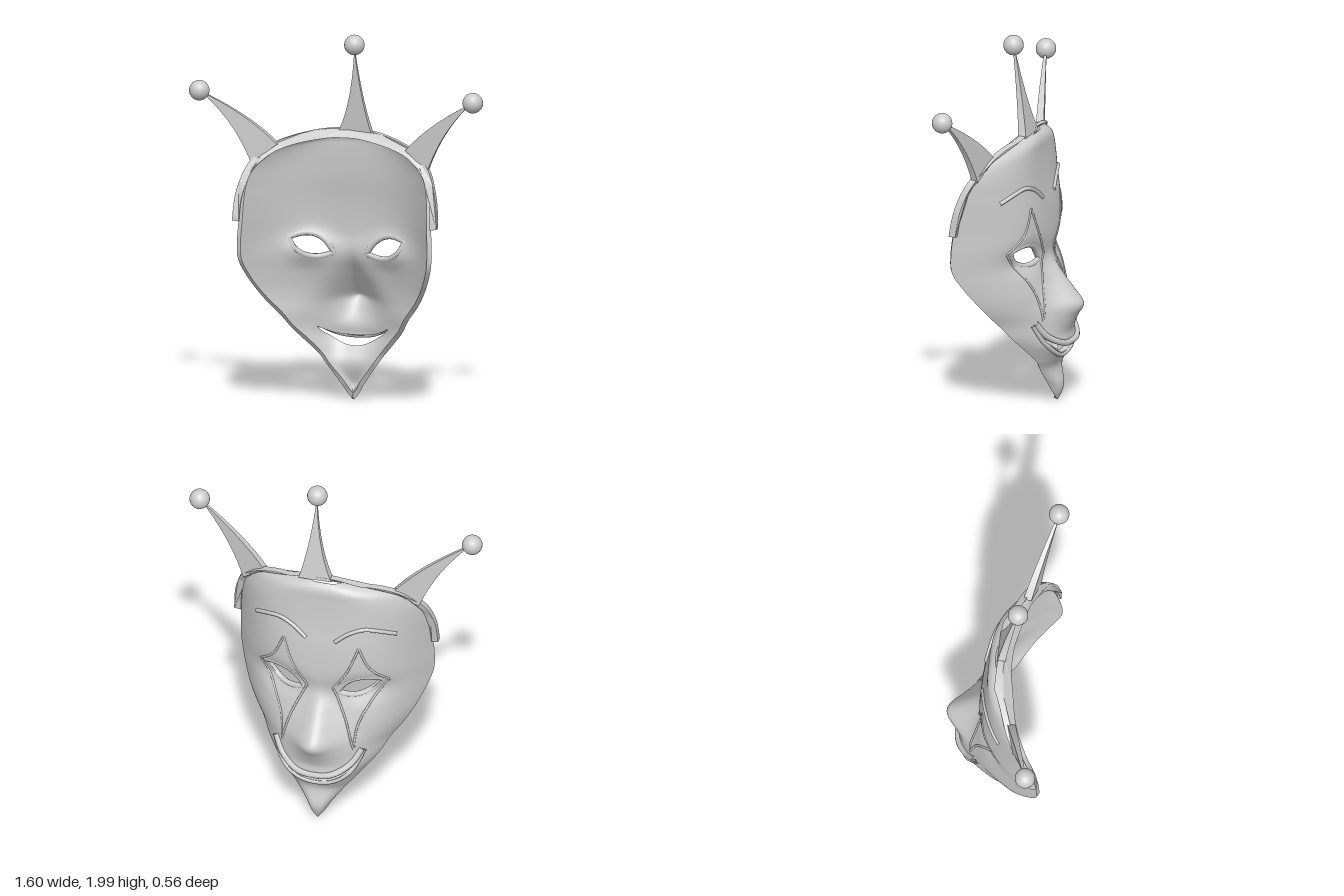
import * as THREE from 'three';

const material = new THREE.MeshStandardMaterial({ color: 0xcccccc, side: THREE.DoubleSide });

// Mask cross-sections: y, half width, rim z, centre z, nose height
const rows = [
  [0.01, 0.004, -0.13, -0.135, 0], [0.05, 0.035, -0.125, -0.155, 0], [0.1, 0.065, -0.11, -0.165, 0],
  [0.2, 0.135, -0.09, -0.14, 0], [0.26, 0.18, -0.085, -0.165, 0], [0.34, 0.25, -0.04, -0.2, 0.01],
  [0.4, 0.3, 0, -0.18, 0.03], [0.48, 0.35, 0.055, -0.155, 0.09], [0.55, 0.405, 0.1, -0.14, 0.14],
  [0.62, 0.45, 0.145, -0.125, 0.105], [0.7, 0.49, 0.2, -0.105, 0.06], [0.8, 0.525, 0.255, -0.09, 0.01],
  [0.9, 0.53, 0.26, -0.1, 0], [1.0, 0.525, 0.25, -0.095, 0], [1.1, 0.52, 0.235, -0.085, 0],
  [1.2, 0.51, 0.21, -0.07, 0], [1.3, 0.475, 0.165, -0.06, 0], [1.38, 0.4, 0.11, -0.055, 0],
  [1.42, 0.32, 0.08, -0.053, 0], [1.45, 0.2, 0.045, -0.04, 0], [1.465, 0.1, 0.015, -0.02, 0],
];
const yMin = rows[0][0], yMax = rows[rows.length - 1][0];

// Smooth interpolation of one column of the table
function profile(col, y) {
  y = THREE.MathUtils.clamp(y, yMin, yMax);
  let i = 0;
  while (i < rows.length - 2 && y > rows[i + 1][0]) i++;
  const slope = (k) => {
    const a = rows[Math.max(k - 1, 0)], b = rows[Math.min(k + 1, rows.length - 1)];
    return (b[col] - a[col]) / (b[0] - a[0]);
  };
  const [a, b] = [rows[i], rows[i + 1]], h = b[0] - a[0], t = (y - a[0]) / h;
  const s = t * t * (3 - 2 * t);
  return a[col] * (1 - s) + b[col] * s
    + h * t * (1 - t) * ((1 - t) * slope(i) - t * slope(i + 1));
}

// Outer face of the mask, which looks toward -z
function surfaceZ(x, y) {
  const r = Math.abs(x) / Math.max(profile(1, y), 0.004);
  const rim = profile(2, y), mid = profile(3, y);
  const noseWidth = THREE.MathUtils.clamp(0.135 - (y - 0.5) * 0.3, 0.045, 0.14);
  const nose = profile(4, y) * Math.exp(-((x / noseWidth) ** 2));
  const socket = 0.042 * Math.exp(-(((Math.abs(x) - 0.23) / 0.12) ** 2) - ((y - 0.83) / 0.08) ** 2);
  return mid + (rim - mid) * Math.min(r, 1.2) ** 3 - nose + socket;
}

function insidePoint(x, y, thickness) {
  const e = 0.004, lim = (v) => THREE.MathUtils.clamp(v, -2.5, 2.5);
  const dx = lim((surfaceZ(x + e, y) - surfaceZ(x - e, y)) / (2 * e));
  const dy = lim((surfaceZ(x, y + e) - surfaceZ(x, y - e)) / (2 * e));
  const n = new THREE.Vector3(-dx, -dy, 1).normalize().multiplyScalar(thickness);
  if (Math.abs(n.x) > Math.abs(x)) n.x = -x;
  return [x + n.x, y + n.y, surfaceZ(x, y) + n.z];
}

// Almond eyes and crescent mouth; positive inside an opening
const eye = { x: 0.205, y: 0.845, tilt: 0.34, length: 0.115, height: 0.052 };
function opening(x, y) {
  const c = Math.cos(eye.tilt), s = Math.sin(eye.tilt);
  const px = Math.abs(x) - eye.x, py = y - eye.y;
  const a = px * c + py * s, b = py * c - px * s;
  const eyeHole = eye.height * (1 - (a / eye.length) ** 2) - Math.abs(b);
  const mouth = Math.min(0.337 + 1.4 * x * x - y, y - 0.28 - 2.6 * x * x);
  return Math.max(eyeHole, mouth);
}

// Two-sided shell cut from a warped grid, with walls along every open edge
function shellGeometry(nx, ny, thickness) {
  const points = [], lookup = new Map(), tris = [];
  const id = (p) => {
    const key = Math.round(p[0] * 2e4) + ',' + Math.round(p[1] * 2e4);
    if (!lookup.has(key)) { lookup.set(key, points.length); points.push(p); }
    return lookup.get(key);
  };
  const vertex = (i, j) => {
    const y = yMin + (yMax - yMin) * j / ny, x = (2 * i / nx - 1) * profile(1, y);
    return [x, y, opening(x, y)];
  };
  const addClipped = (poly) => {
    const out = [];
    poly.forEach((p, k) => {
      const q = poly[(k + 1) % poly.length];
      if (p[2] <= 0) out.push(id(p));
      if ((p[2] <= 0) !== (q[2] <= 0)) {
        const t = p[2] / (p[2] - q[2]);
        out.push(id([p[0] + (q[0] - p[0]) * t, p[1] + (q[1] - p[1]) * t, 0]));
      }
    });
    for (let k = 1; k + 1 < out.length; k++) {
      const [a, b, c] = [out[0], out[k], out[k + 1]];
      if (a !== b && b !== c && a !== c) tris.push([a, b, c]);
    }
  };
  for (let j = 0; j < ny; j++) for (let i = 0; i < nx; i++) {
    const a = vertex(i, j), b = vertex(i + 1, j), c = vertex(i + 1, j + 1), d = vertex(i, j + 1);
    addClipped([a, b, c]);
    addClipped([a, c, d]);
  }
  const outer = points.map(([x, y]) => [x, y, surfaceZ(x, y)]);
  const inner = points.map(([x, y]) => insidePoint(x, y, thickness));
  const pos = [...outer, ...inner], index = [], n = points.length, edges = new Set();
  for (const [a, b, c] of tris) {
    index.push(a, c, b, a + n, b + n, c + n);
    for (const e of [[a, b], [b, c], [c, a]]) edges.add(e.join());
  }
  for (const e of edges) {
    const [a, b] = e.split(',').map(Number);
    if (edges.has(b + ',' + a)) continue;
    const k = pos.length;
    pos.push(outer[a], outer[b], inner[b], inner[a]);
    index.push(k, k + 1, k + 2, k, k + 2, k + 3);
  }
  const geo = new THREE.BufferGeometry();
  geo.setAttribute('position', new THREE.Float32BufferAttribute(pos.flat(), 3));
  geo.setIndex(index);
  geo.computeVertexNormals();
  return geo;
}

// Flat plate from a shape, moved in z by a rule and thinned by another
function plate(shape, depth, zAt, thin = () => 1) {
  const geo = new THREE.ExtrudeGeometry(shape, { depth, bevelEnabled: false, curveSegments: 14 });
  geo.translate(0, 0, -depth / 2);
  const p = geo.attributes.position;
  for (let i = 0; i < p.count; i++) {
    const x = p.getX(i), y = p.getY(i);
    p.setZ(i, p.getZ(i) * thin(x, y) + zAt(x, y));
  }
  geo.computeVertexNormals();
  return geo;
}

export function createModel() {
  const group = new THREE.Group();
  const add = (name, geo) => {
    const mesh = new THREE.Mesh(geo, material);
    mesh.name = name;
    group.add(mesh);
    return mesh;
  };
  const v2 = (list) => list.map(([x, y]) => new THREE.Vector2(x, y));
  const smooth = (list, n) => new THREE.SplineCurve(v2(list)).getPoints(n);

  // Raised line following the face
  const ridge = (name, pts, radius, closed = false, lift = 0) => {
    const path = pts.map((p) => new THREE.Vector3(p.x, p.y, surfaceZ(p.x, p.y) - lift));
    const curve = new THREE.CatmullRomCurve3(path, closed);
    add(name, new THREE.TubeGeometry(curve, pts.length * 2, radius, 8, closed));
  };
  const flip = (pts, s) => pts.map((p) => new THREE.Vector2(p.x * s, p.y));

  add('maskShell', shellGeometry(100, 130, 0.025));

  // Lips
  const upper = [[0.235, 0.485], [0.185, 0.405], [0.1, 0.355], [0, 0.342]];
  const lower = [[0.245, 0.475], [0.19, 0.362], [0.1, 0.29], [0, 0.265]];
  const across = (half) => [...half, ...half.slice(0, -1).reverse().map(([x, y]) => [-x, y])];
  ridge('upperLip', smooth(across(upper), 40), 0.017, false, 0.006);
  ridge('lowerLip', smooth(across(lower), 40), 0.012, false, 0.004);

  for (const s of [1, -1]) {
    const side = s > 0 ? 'left' : 'right';
    // Eye rim
    const rim = [];
    for (let k = 0; k < 32; k++) {
      const t = k / 32 * Math.PI * 2, a = (eye.length + 0.008) * Math.cos(t);
      const b = (eye.height + 0.006) * Math.sin(t) * Math.abs(Math.sin(t));
      const c = Math.cos(eye.tilt), n = Math.sin(eye.tilt);
      rim.push(new THREE.Vector2(eye.x + a * c - b * n, eye.y + a * n + b * c));
    }
    ridge(side + 'EyeRim', flip(rim, s), 0.016, true, -0.014);
    // Eyebrow
    ridge(side + 'Eyebrow', flip(smooth([[0.08, 1.135], [0.15, 1.19], [0.23, 1.218], [0.31, 1.2], [0.38, 1.165]], 20), s), 0.011, false, 0.002);
    // Diamond outline around the eye
    const sides = [
      [[0.205, 1.105], [0.26, 0.98], [0.35, 0.88]], [[0.35, 0.88], [0.27, 0.76], [0.21, 0.63], [0.195, 0.49]],
      [[0.195, 0.49], [0.15, 0.65], [0.07, 0.83]], [[0.07, 0.83], [0.15, 0.96], [0.205, 1.105]],
    ];
    for (const line of sides) ridge(side + 'EyeDiamond', flip(smooth(line, 14), s), 0.006);
  }

  // Headband around the upper rim
  const half = [[0.557, 1.01], [0.545, 1.15], [0.5, 1.29], [0.43, 1.367], [0.36, 1.412], [0.25, 1.45], [0.1, 1.48], [0, 1.485]];
  const outline = smooth(across(half), 60);
  const inset = outline.map((p) => new THREE.Vector2(p.x * 0.935, 0.95 + (p.y - 0.95) * 0.92)).reverse();
  add('headband', plate(new THREE.Shape([...outline, ...inset]), 0.036, (x, y) => profile(2, y) - 0.004));

  // Crown spikes with ball tips
  const spike = (name, a, ca, tip, cb, b, zAt, thin, ball) => {
    const shape = new THREE.Shape().moveTo(...a);
    shape.quadraticCurveTo(...ca, tip[0], tip[1]);
    shape.quadraticCurveTo(...cb, ...b);
    add(name, plate(shape, 0.044, zAt, thin));
    add(name + 'Ball', new THREE.SphereGeometry(0.054, 24, 16)).position.set(...ball);
  };
  spike('centreSpike', [-0.04, 1.47], [0.04, 1.62], [0.064, 1.93], [0.09, 1.63], [0.14, 1.465],
    (x, y) => 0.012 + (y - 1.47) * 0.165, (x, y) => 1 - 0.75 * (y - 1.46) / 0.47, [0.064, 1.946, 0.09]);
  for (const s of [1, -1]) {
    spike(s > 0 ? 'leftSpike' : 'rightSpike', [0.35 * s, 1.4], [0.48 * s, 1.55], [0.735 * s, 1.685], [0.56 * s, 1.52], [0.48 * s, 1.3],
      (x) => 0.135 + 0.31 * (Math.abs(x) - 0.45), (x) => 1 - 0.7 * (Math.abs(x) - 0.35) / 0.385, [0.745 * s, 1.69, 0.225]);
  }
  return group;
}
